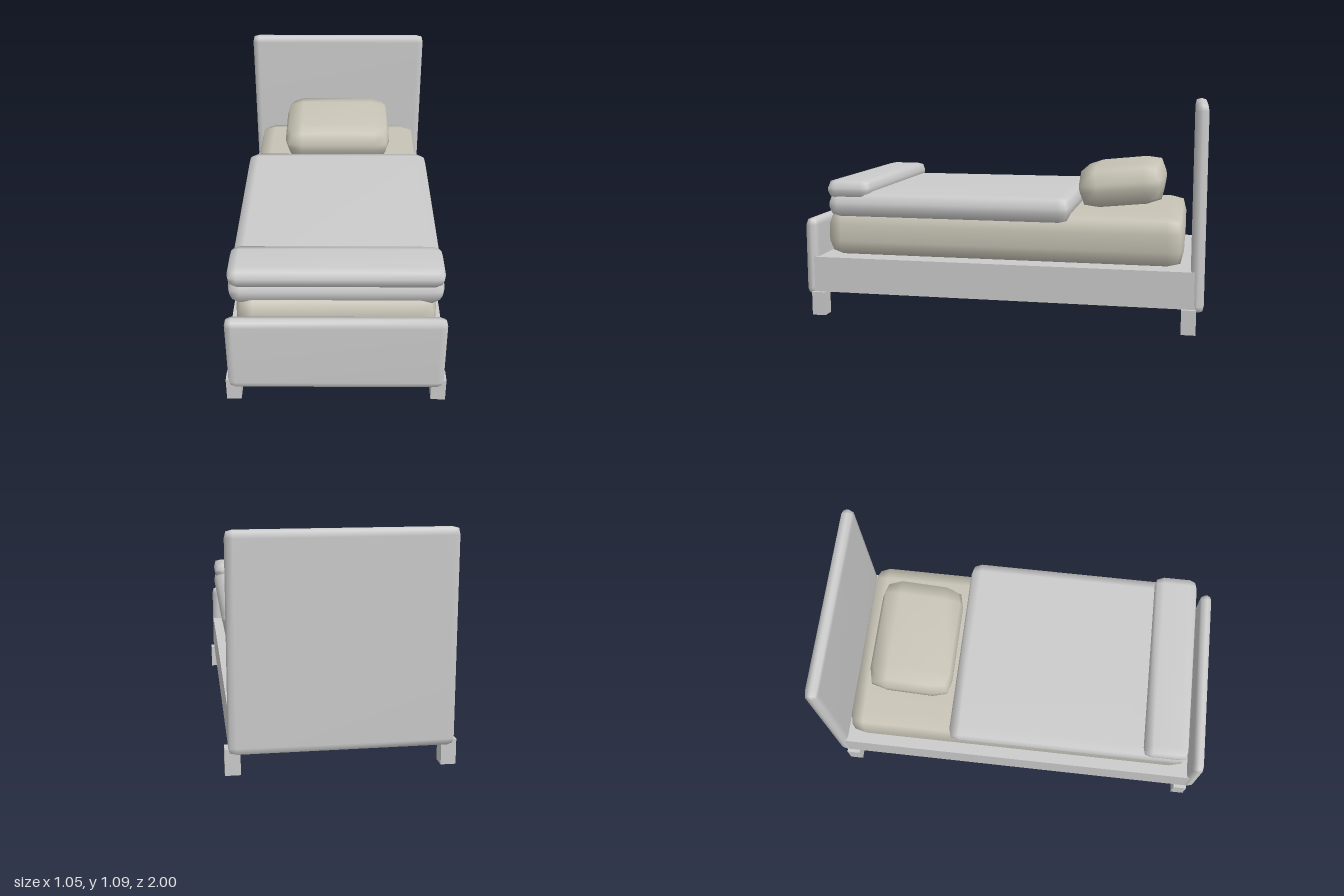
import * as THREE from 'three';
import { mergeVertices } from 'three/addons/utils/BufferGeometryUtils.js';

const grey = new THREE.MeshStandardMaterial({ color: 0xcccccc });
const greyOpen = new THREE.MeshStandardMaterial({ color: 0xcccccc, side: THREE.DoubleSide });
const linen = new THREE.MeshStandardMaterial({ color: 0xc8c4b6 });

// Box with softened edges: one bevel loop of size r, edges and corners pulled in
function softBox(w, h, d, r) {
  const geo = new THREE.BoxGeometry(1, 1, 1, 3, 3, 3);
  const pos = geo.attributes.position;
  const half = [w / 2, h / 2, d / 2];
  const bevel = half.map((s) => Math.min(r, s * 0.85));
  const pull = [0, 0, 0.2, 0.38];
  for (let i = 0; i < pos.count; i++) {
    const p = [pos.getX(i), pos.getY(i), pos.getZ(i)];
    const outer = p.map((v) => Math.abs(v) > 0.4);
    const n = outer.filter(Boolean).length;
    const q = p.map((v, a) => Math.sign(v) * (half[a] - bevel[a] * (outer[a] ? pull[n] : 1)));
    pos.setXYZ(i, ...q);
  }
  geo.deleteAttribute('uv');
  geo.deleteAttribute('normal');
  const smooth = mergeVertices(geo, 1e-5);
  smooth.computeVertexNormals();
  return smooth;
}

// Box without its underside
function openBox(w, h, d) {
  const geo = new THREE.BoxGeometry(w, h, d);
  const index = Array.from(geo.index.array);
  index.splice(18, 6);
  geo.setIndex(index);
  return geo;
}

export function createModel() {
  const bed = new THREE.Group();
  bed.name = 'bed';

  const add = (name, geo, material, x, y, z) => {
    const mesh = new THREE.Mesh(geo, material);
    mesh.name = name;
    mesh.position.set(x, y, z);
    bed.add(mesh);
    return mesh;
  };

  // Soft part given by its extents in y and z, centred on x
  const soft = (name, w, y0, y1, z0, z1, r, material) =>
    add(name, softBox(w, y1 - y0, z1 - z0, r), material, 0, (y0 + y1) / 2, (z0 + z1) / 2);

  // Frame, open below
  add('frame', openBox(1.015, 0.18, 1.92), greyOpen, 0, 0.21, 0);

  // Legs at the four corners
  for (const [side, sx] of [['Left', 1], ['Right', -1]]) {
    for (const [end, sz] of [['front', 1], ['back', -1]]) {
      add(`${end}${side}Leg`, openBox(0.07, 0.12, 0.07), greyOpen, sx * 0.49, 0.06, sz * 0.93);
    }
  }

  // End boards
  soft('headboard', 1.02, 0.1, 1.09, -1, -0.935, 0.035, grey);
  soft('footboard', 1.02, 0.1, 0.497, 0.937, 1, 0.035, grey);

  // Bedding
  soft('mattress', 0.935, 0.299, 0.545, -0.9, 0.905, 0.08, linen);
  soft('blanket', 1.0, 0.505, 0.635, -0.352, 0.883, 0.055, grey);
  soft('blanketFold', 1.0, 0.6, 0.695, 0.658, 0.885, 0.045, grey);
  const pillow = soft('pillow', 0.595, 0.565, 0.772, -0.793, -0.363, 0.095, linen);
  pillow.rotation.x = 0.1;

  return bed;
}
